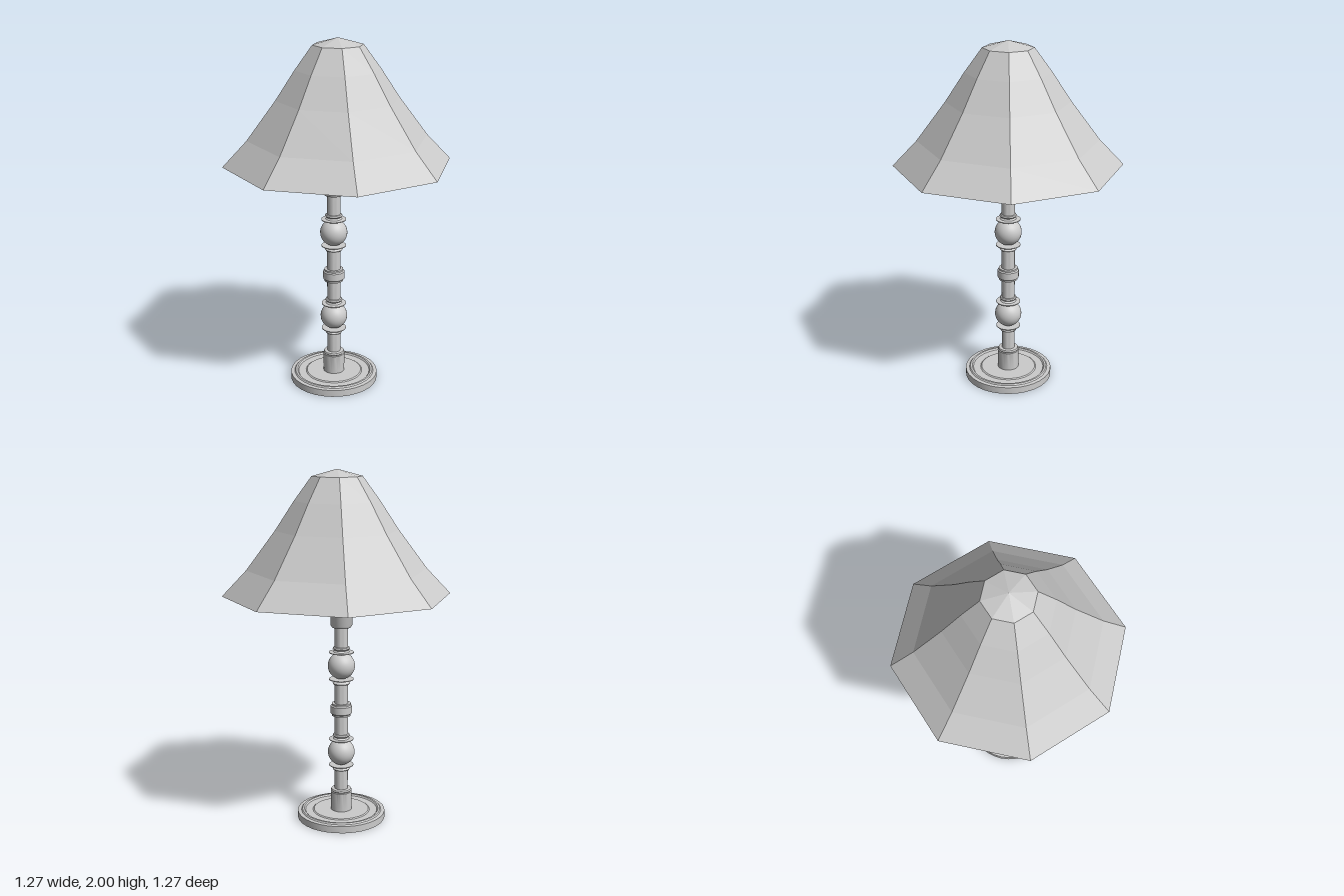
import * as THREE from 'three';
import { toCreasedNormals } from 'three/addons/utils/BufferGeometryUtils.js';

const STEM_X = -0.024; // the stem stands slightly off the shade's axis

export function createModel() {
  const group = new THREE.Group();
  const smooth = new THREE.MeshStandardMaterial({ color: 0xcccccc, side: THREE.DoubleSide });
  const faceted = new THREE.MeshStandardMaterial({ color: 0xcccccc, flatShading: true, side: THREE.DoubleSide });

  const add = (name, geometry, material, x, y) => {
    const mesh = new THREE.Mesh(geometry, material);
    mesh.name = name;
    mesh.position.set(x, y, 0);
    group.add(mesh);
    return mesh;
  };
  // Turned part from [radius, height] pairs, bottom to top
  const turned = (name, profile, y = 0) => {
    const points = profile.map(([r, h]) => new THREE.Vector2(r, h));
    return add(name, toCreasedNormals(new THREE.LatheGeometry(points, 32), 0.6), smooth, STEM_X, y);
  };

  // Round foot with a stepped top
  turned('base', [
    [0, 0], [0.253, 0], [0.253, 0.04], [0.232, 0.042], [0.226, 0.049],
    [0.215, 0.049], [0.208, 0.041], [0.165, 0.041], [0.158, 0.046], [0, 0.046],
  ]);

  // Lower sleeve rising from the foot
  turned('lowerSleeve', [
    [0.061, 0.04], [0.061, 0.155], [0.056, 0.158], [0.06, 0.164], [0.056, 0.172], [0.038, 0.174],
  ]);

  // Slim tubes between the ornaments
  for (const [bottom, top] of [[0.16, 0.31], [0.48, 0.82], [0.99, 1.15]]) {
    turned('tube', [[0.038, bottom], [0.038, top]]);
  }

  // Two balls, each held between a pair of mirrored thin discs and beads
  for (const y of [0.395, 0.907]) {
    add('ball', new THREE.SphereGeometry(0.077, 32, 20), smooth, STEM_X, y);
    for (const side of [-1, 1]) {
      const cup = [
        [0, 0.076], [0.07, 0.076], [0.07, 0.08], [0.046, 0.082], [0.038, 0.09],
        [0.045, 0.095], [0.049, 0.101], [0.045, 0.108], [0.038, 0.11],
      ].map(([r, h]) => [r, h * side]);
      turned('ballCup', side > 0 ? cup : cup.reverse(), y);
    }
  }

  // Collar halfway up the stem
  turned('middleCollar', [
    [0.038, 0.615], [0.054, 0.615], [0.054, 0.624], [0.061, 0.63],
    [0.061, 0.672], [0.054, 0.678], [0.054, 0.687], [0.038, 0.687],
  ]);

  // Upper sleeve and the socket collar inside the shade
  turned('upperSleeve', [
    [0.038, 1.13], [0.054, 1.13], [0.061, 1.142], [0.061, 1.64],
  ]);
  turned('socketCollar', [
    [0.061, 1.64], [0.078, 1.645], [0.078, 1.675], [0.061, 1.685], [0, 1.685],
  ]);

  // Flared eight-sided shade, open underneath, with a shallow pointed cap
  const shade = [
    [0.635, 1.313], [0.5, 1.455], [0.34, 1.67], [0.235, 1.83], [0.139, 1.962], [0, 2],
  ].map(([r, h]) => new THREE.Vector2(r, h));
  add('shade', new THREE.LatheGeometry(shade, 8), faceted, 0, 0);

  return group;
}
